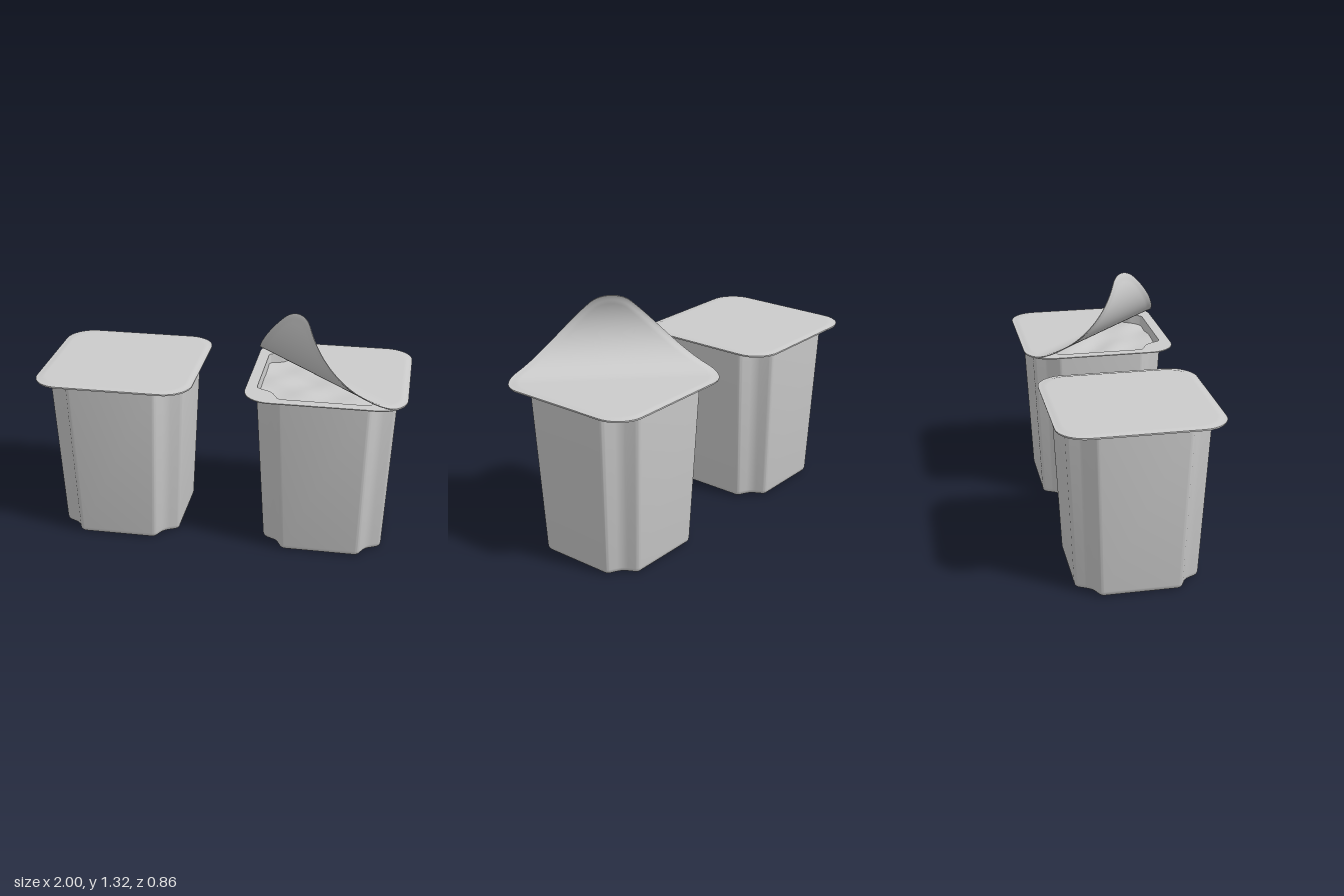
import * as THREE from 'three';
import { toCreasedNormals } from 'three/addons/utils/BufferGeometryUtils.js';

const material = new THREE.MeshStandardMaterial({ color: 0xcccccc, side: THREE.DoubleSide });
const RIM_Y = 0.926;

// Closed outline of straight runs with every corner rounded; corners are [x, z, radius]
function roundedOutline(corners) {
  const shape = new THREE.Shape();
  const n = corners.length;
  corners.forEach(([x, y, r], i) => {
    const toward = ([px, py]) => {
      const d = Math.hypot(px - x, py - y);
      return [x + (px - x) * r / d, y + (py - y) * r / d];
    };
    const a = toward(corners[(i + n - 1) % n]);
    const b = toward(corners[(i + 1) % n]);
    if (i === 0) shape.moveTo(...a); else shape.lineTo(...a);
    shape.quadraticCurveTo(x, y, ...b);
  });
  shape.closePath();
  return shape;
}

// Four quarter turns of one corner's points
function fourfold(quarter) {
  const out = [];
  for (let k = 0; k < 4; k++) {
    const c = [1, 0, -1, 0][k], s = [0, 1, 0, -1][k];
    for (const [x, y, r] of quarter) out.push([x * c - y * s, x * s + y * c, r]);
  }
  return out;
}

const cupCorner = [[0.375, 0.243, 0.02], [0.287, 0.287, 0.035], [0.243, 0.375, 0.02]];
const cupShape = (s = 1) => roundedOutline(fourfold(cupCorner.map(c => c.map(v => v * s))));

// Square with true circular corners
function roundedSquare(h, r) {
  const shape = new THREE.Shape();
  const c = h - r;
  for (let k = 0; k < 4; k++) {
    const a = k * Math.PI / 2;
    const sx = [1, -1, -1, 1][k], sy = [1, 1, -1, -1][k];
    shape.absarc(sx * c, sy * c, r, a, a + Math.PI / 2, false);
  }
  shape.closePath();
  return shape;
}

// Skin through scaled copies of an outline; sections are [scale, height]
function loft(outline, sections, crease, deform) {
  const n = outline.length, pos = [], index = [];
  const v = new THREE.Vector3();
  for (const [s, y] of sections) {
    for (const p of outline) {
      v.set(p.x * s, y, p.y * s);
      if (deform) deform(v);
      pos.push(v.x, v.y, v.z);
    }
  }
  for (let i = 0; i < sections.length - 1; i++) {
    for (let j = 0; j < n; j++) {
      const k = (j + 1) % n;
      const a = i * n + j, b = i * n + k, c = a + n, d = b + n;
      index.push(a, c, b, b, c, d);
    }
  }
  const g = new THREE.BufferGeometry();
  g.setAttribute('position', new THREE.Float32BufferAttribute(pos, 3));
  g.setIndex(index);
  return toCreasedNormals(g, crease);
}

function part(name, geometry) {
  const mesh = new THREE.Mesh(geometry, material);
  mesh.name = name;
  return mesh;
}

// Tapered tub with stepped-in corners, soft bottom edge and recessed base
function makeTub() {
  const outline = cupShape().getPoints(8).slice(0, -1);
  const wall = [
    [0, 0.008], [0.7, 0.008], [0.72, 0.002], [0.74, 0], [0.825, 0], [0.85, 0.003],
    [0.87, 0.012], [0.88, 0.028], [1, RIM_Y],
    [0.985, RIM_Y], [0.87, 0.04], [0, 0.03],
  ];
  return part('tub', loft(outline, wall, 0.7));
}

// Flat square flange around the opening
function makeFlange() {
  const shape = roundedSquare(0.428, 0.15);
  shape.holes.push(cupShape(0.985));
  const g = new THREE.ExtrudeGeometry(shape, { depth: 0.005, bevelEnabled: false, curveSegments: 12 });
  g.rotateX(Math.PI / 2).translate(0, RIM_Y + 0.003, 0);
  return part('flange', toCreasedNormals(g, 0.6));
}

// Gently uneven food surface just under the rim
function makeContents() {
  const outline = cupShape(0.98).getSpacedPoints(120).slice(0, -1);
  const sections = [];
  for (let i = 0; i <= 16; i++) sections.push([1 - i / 16, 0.872]);
  const waves = v => {
    v.y += 0.006 * Math.sin(v.x * 21 + 1) * Math.cos(v.z * 18) + 0.004 * Math.sin(v.x * 13 - v.z * 27);
  };
  return part('contents', loft(outline, sections, 1.2, waves));
}

// Rolls the front corner upward about the diagonal
function peel(v) {
  const START = -0.01, R = 0.267;
  const u = (v.z - v.x) / Math.SQRT2, w = (v.x + v.z) / Math.SQRT2;
  if (u <= START) return;
  const t = (u - START) / R, h = v.y - RIM_Y;
  const u2 = START + (R - h) * Math.sin(t);
  v.set((w - u2) / Math.SQRT2, RIM_Y + R - (R - h) * Math.cos(t), (w + u2) / Math.SQRT2);
}

// Thin foil lid with a pressed border
function makeLid(peeled) {
  const outline = roundedSquare(0.43, 0.15).getSpacedPoints(160).slice(0, -1);
  const RINGS = 22, bottom = RIM_Y + 0.003, sections = [];
  for (let i = 0; i <= RINGS; i++) sections.push([0.94 * i / RINGS, bottom + 0.002]);
  sections.push([0.96, bottom], [1, bottom], [1, bottom + 0.004], [0.96, bottom + 0.004]);
  for (let i = RINGS; i >= 0; i--) sections.push([0.94 * i / RINGS, bottom + 0.007]);
  return part('lid', loft(outline, sections, 0.6, peeled ? peel : null));
}

function makeCup(name, x, peeled) {
  const cup = new THREE.Group();
  cup.name = name;
  cup.add(makeTub(), makeFlange(), makeContents(), makeLid(peeled));
  cup.position.x = x;
  return cup;
}

export function createModel() {
  const model = new THREE.Group();
  model.name = 'foodCups';
  model.add(makeCup('closedCup', -0.57, false), makeCup('openCup', 0.57, true));
  return model;
}
